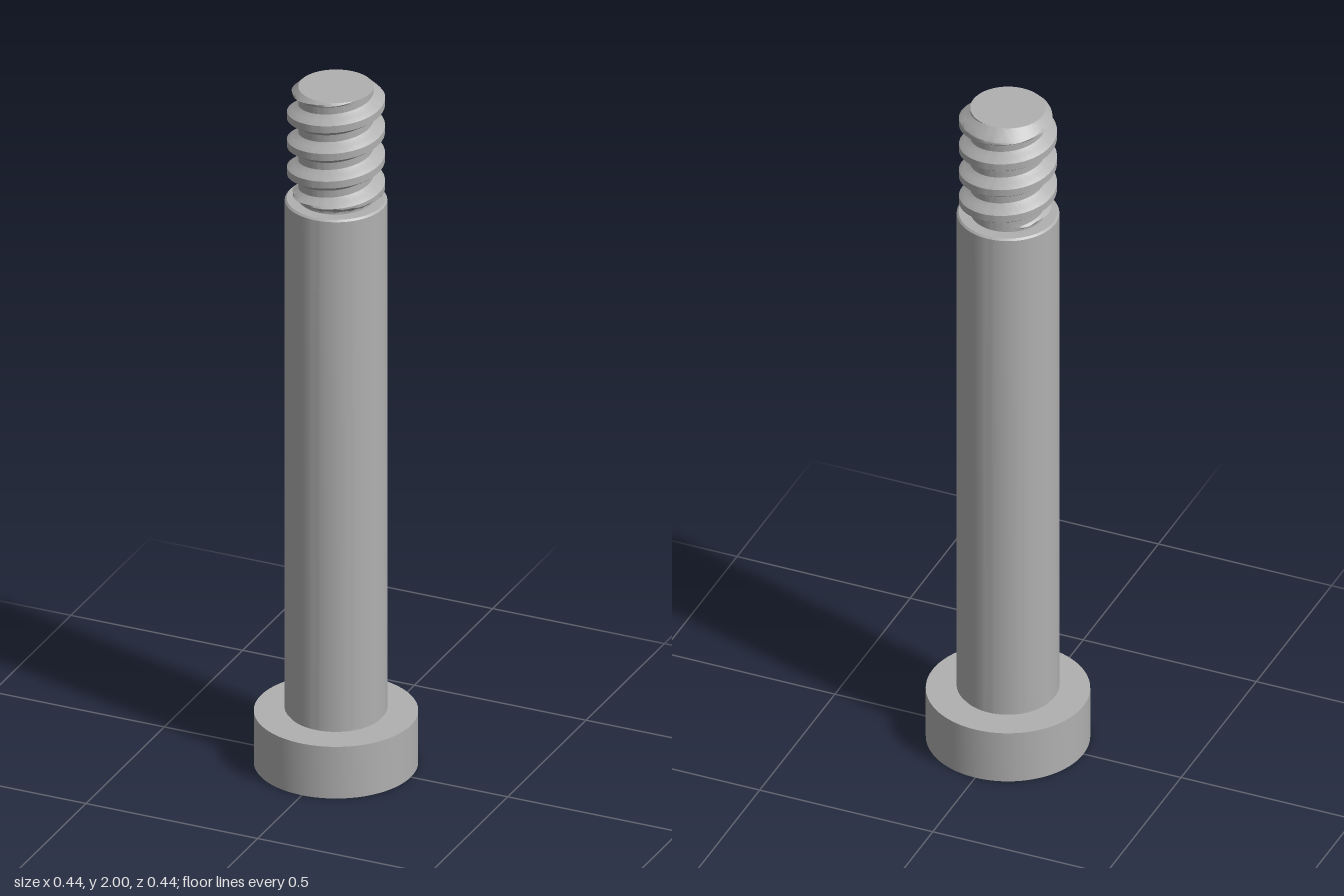
import * as THREE from 'three';
import { toCreasedNormals } from 'three/addons/utils/BufferGeometryUtils.js';

const HEAD_R = 0.218, HEAD_H = 0.153, SHANK_R = 0.136, SHANK_TOP = 1.67;
const CORE_R = 0.1, THREAD_R = 0.13, PITCH = 0.082, TOP = 2;
const HEX_R = 0.11, HEX_DEPTH = 0.11, SEGS = 96;

// Surface of revolution from [radius, y] pairs listed bottom to top
function lathe(points) {
  const g = new THREE.LatheGeometry(points.map(([r, y]) => new THREE.Vector2(r, y)), SEGS);
  return toCreasedNormals(g, 0.5);
}

// Right-handed trapezoidal thread, chamfered at both ends
function threadRadius(t, y) {
  const turns = (y - 1.952) / PITCH - (t - Math.PI / 2) / (2 * Math.PI);
  const d = Math.abs(turns - Math.round(turns)); // 0 at crest, 0.5 at root
  const k = THREE.MathUtils.clamp((0.36 - d) / 0.22, 0, 1);
  const r = CORE_R + (THREAD_R - CORE_R) * k;
  return Math.max(CORE_R, Math.min(r, CORE_R + (TOP - y), CORE_R + (y - SHANK_TOP - 0.008) * 1.5));
}

// Grid whose rows follow the helix and are clamped to the ends
function threadGeometry() {
  const pos = [], idx = [], perTurn = 16;
  const rows = Math.ceil(((TOP - SHANK_TOP) / PITCH + 2) * perTurn);
  for (let j = 0; j <= rows; j++) {
    for (let i = 0; i <= SEGS; i++) {
      const t = (i / SEGS) * Math.PI * 2;
      const raw = 1.952 + PITCH * (i / SEGS - 0.25 + j / perTurn - 5);
      const y = THREE.MathUtils.clamp(raw, SHANK_TOP, TOP);
      const r = threadRadius(t, y);
      pos.push(r * Math.sin(t), y, r * Math.cos(t));
      if (i < SEGS && j < rows) {
        const a = j * (SEGS + 1) + i, b = a + SEGS + 1;
        idx.push(a, a + 1, b, b, a + 1, b + 1);
      }
    }
  }
  const g = new THREE.BufferGeometry();
  g.setAttribute('position', new THREE.Float32BufferAttribute(pos, 3));
  g.setIndex(idx);
  return toCreasedNormals(g, 0.5);
}

export function createModel() {
  const group = new THREE.Group();
  const steel = new THREE.MeshStandardMaterial({ color: 0xb0b0b0 });
  steel.name = 'steel grey';
  const add = (name, geometry, y = 0) => {
    const mesh = new THREE.Mesh(geometry, steel);
    mesh.name = name;
    mesh.position.y = y;
    group.add(mesh);
  };

  // Head wall and upper face
  add('head', lathe([[HEAD_R, 0], [HEAD_R, HEAD_H], [0.11, HEAD_H]]));

  // Head underside with hexagonal opening
  const face = new THREE.Shape().absarc(0, 0, HEAD_R, 0, Math.PI * 2);
  const hex = new THREE.Path();
  for (let i = 0; i < 6; i++) {
    const a = (i * Math.PI) / 3, x = HEX_R * Math.sin(a), y = HEX_R * Math.cos(a);
    if (i) hex.lineTo(x, y); else hex.moveTo(x, y);
  }
  hex.closePath();
  face.holes.push(hex);
  add('headFace', new THREE.ShapeGeometry(face, SEGS / 2).rotateX(Math.PI / 2));

  // Socket walls, mirrored to face inwards, and floor
  const walls = new THREE.CylinderGeometry(HEX_R, HEX_R, HEX_DEPTH, 6, 1, true).scale(1, 1, -1);
  add('socketWalls', toCreasedNormals(walls, 0.3), HEX_DEPTH / 2);
  add('socketFloor', new THREE.CircleGeometry(HEX_R, 6, Math.PI / 2).rotateX(Math.PI / 2), HEX_DEPTH);

  // Shank with small relief at the head and chamfer at the shoulder
  add('shank', lathe([
    [0.129, HEAD_H], [0.129, HEAD_H + 0.007], [SHANK_R, HEAD_H + 0.009],
    [SHANK_R, SHANK_TOP - 0.005], [0.131, SHANK_TOP], [0.09, SHANK_TOP],
  ]));

  // Threaded end and its flat tip
  add('thread', threadGeometry());
  add('tip', new THREE.CircleGeometry(CORE_R, SEGS).rotateX(-Math.PI / 2), TOP);

  return group;
}
